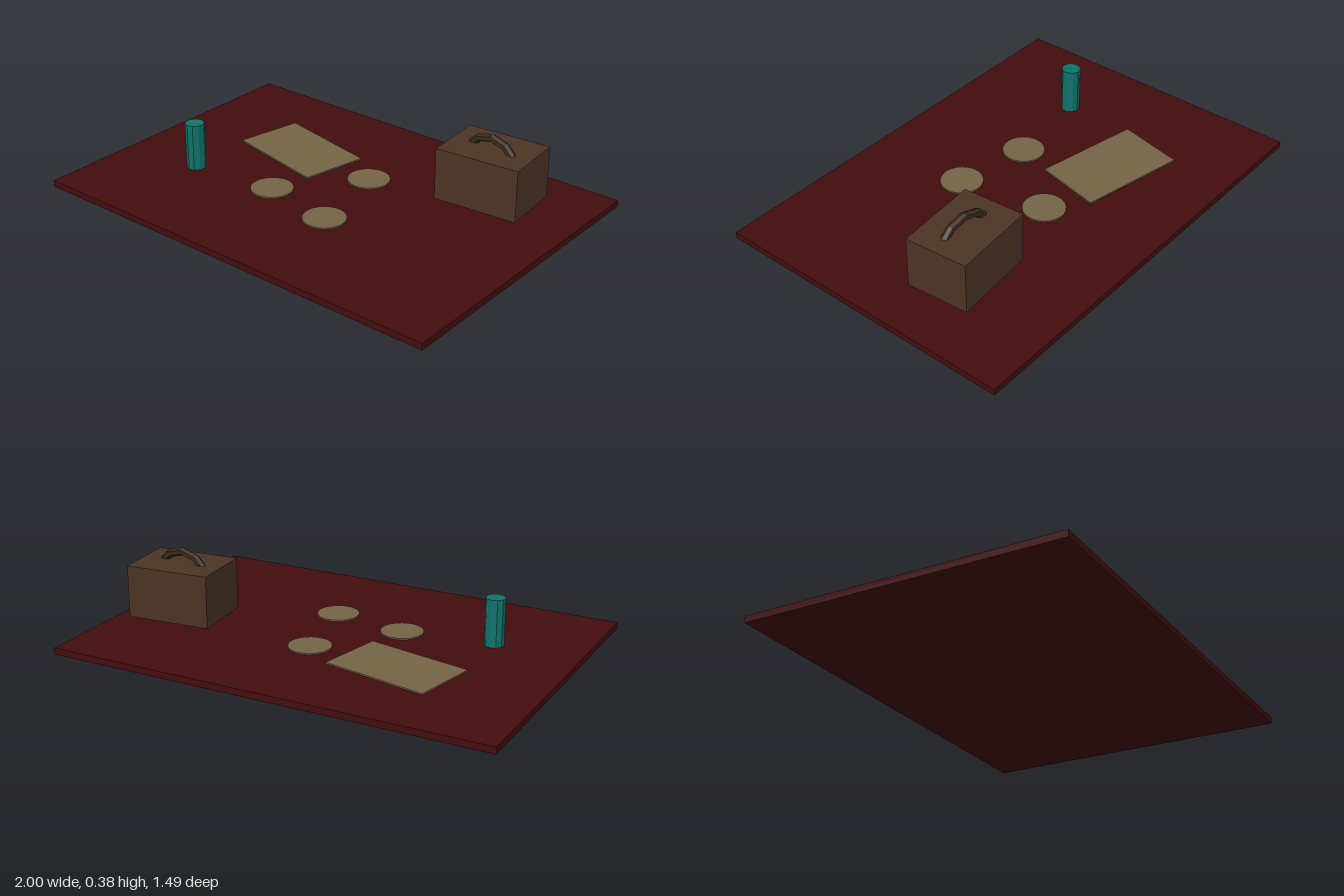
import * as THREE from 'three';

export function createModel() {
  const model = new THREE.Group();

  const material = (name, color) => {
    const m = new THREE.MeshStandardMaterial({ color, flatShading: true });
    m.name = name;
    return m;
  };
  const darkRed = material('dark red cloth', 0x430d0e);
  const cream = material('dull cream', 0x746446);
  const brown = material('wicker brown', 0x4b3424);
  const darkBrown = material('handle brown', 0x3b2a1d);
  const teal = material('teal', 0x0e736b);

  const add = (name, geometry, mat, x, y, z, turn = 0) => {
    const mesh = new THREE.Mesh(geometry, mat);
    mesh.name = name;
    mesh.position.set(x, y, z);
    mesh.rotation.y = turn;
    model.add(mesh);
    return mesh;
  };

  // Picnic blanket
  const top = 0.028;
  add('blanket', new THREE.BoxGeometry(1.9, top, 1.34), darkRed, 0, top / 2, 0, 0.08);

  // Serving board and plates lying on the blanket
  const thin = 0.006;
  add('servingBoard', new THREE.BoxGeometry(0.468, thin, 0.292), cream, -0.36, top + thin / 2, -0.177, -0.125);
  const plateGeometry = new THREE.CylinderGeometry(0.09, 0.09, thin, 24);
  [[0.042, -0.177], [-0.188, 0.16], [0.146, 0.193]].forEach(([x, z], i) =>
    add(`plate${i + 1}`, plateGeometry, cream, x, top + thin / 2, z));

  // Bottle
  add('bottle', new THREE.CylinderGeometry(0.041, 0.041, 0.202, 10), teal, -0.57, 0.129, 0.24);

  // Basket with a ring handle passing through it
  add('basket', new THREE.BoxGeometry(0.358, 0.218, 0.266), brown, 0.588, 0.21, -0.293, 0.165);
  add('basketHandle', new THREE.TorusGeometry(0.13, 0.017, 6, 12), darkBrown, 0.588, 0.232, -0.287);

  return model;
}
